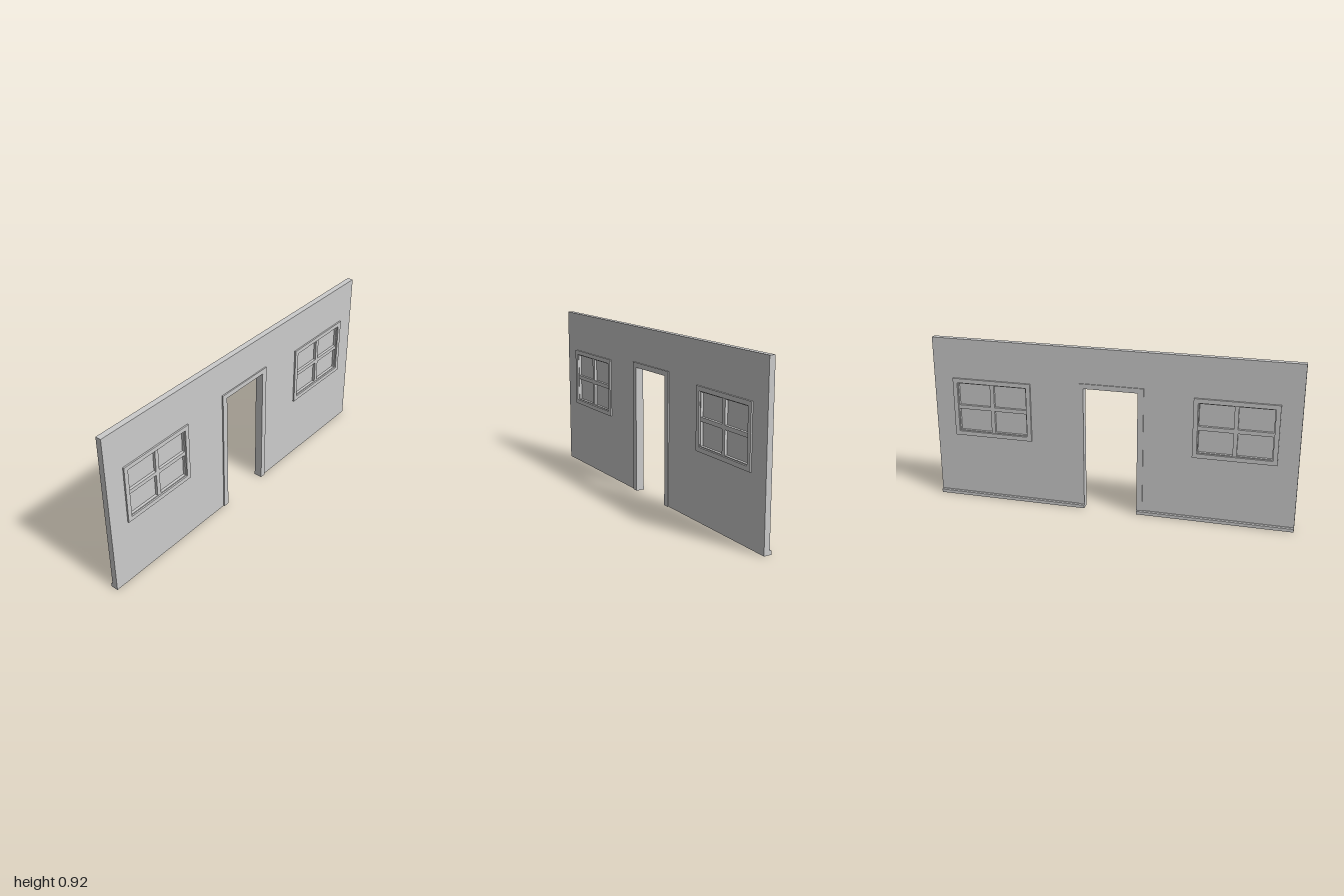
import * as THREE from 'three';

const material = new THREE.MeshStandardMaterial({ color: 0xcccccc, flatShading: true });

// Closed outline from [x, y] corners
const outline = (pts, Type = THREE.Shape) => new Type(pts.map(([x, y]) => new THREE.Vector2(x, y)));
const rect = (x0, y0, x1, y1) => [[x0, y0], [x1, y0], [x1, y1], [x0, y1]];
const arch = (x, y) => [[-x, 0], [-x, y], [x, y], [x, 0]];

// Extrude an outline with holes from z0 to z1
function slab(name, pts, holes, z0, z1) {
  const shape = outline(pts);
  shape.holes = holes.map((h) => outline(h, THREE.Path));
  const geometry = new THREE.ExtrudeGeometry(shape, { depth: z1 - z0, bevelEnabled: false });
  geometry.translate(0, 0, z0);
  const mesh = new THREE.Mesh(geometry, material);
  mesh.name = name;
  return mesh;
}

function box(name, w, h, d) {
  const mesh = new THREE.Mesh(new THREE.BoxGeometry(w, h, d), material);
  mesh.name = name;
  return mesh;
}

// Window: outer frame, recessed cross bars and a thin pane, centred on the origin
function createWindow(name) {
  const w = 0.445, h = 0.33, t = 0.024;
  const iw = w - 2 * t, ih = h - 2 * t;
  const group = new THREE.Group();
  group.name = name;
  group.add(
    slab('windowFrame', rect(-w / 2, -h / 2, w / 2, h / 2),
      [rect(-iw / 2, -ih / 2, iw / 2, ih / 2)], -0.0255, 0.0255),
    slab('windowBars', rect(-iw / 2, -ih / 2, iw / 2, ih / 2),
      [-1, 1].flatMap((sx) => [-1, 1].map((sy) => {
        const cx = sx * (iw / 4 + 0.003), cy = sy * (ih / 4 + 0.003);
        const px = iw / 4 - 0.008, py = ih / 4 - 0.008;
        return rect(cx - px, cy - py, cx + px, cy + py);
      })), -0.017, 0.017),
    box('windowPane', iw, ih, 0.004),
  );
  return group;
}

export function createModel() {
  const model = new THREE.Group();
  model.name = 'wallWithDoorway';
  const doorX = 0.148, doorY = 0.7, frameX = 0.18, frameY = 0.727;
  const windowX = 0.6675, windowY = 0.535;

  // Wall with a doorway notch and two window openings
  const openings = [-1, 1].map((s) => rect(
    s * windowX - 0.205, windowY - 0.147, s * windowX + 0.205, windowY + 0.147));
  model.add(slab('wall',
    [[-1, 0], ...arch(doorX + 0.006, doorY + 0.006), [1, 0], [1, 0.923], [-1, 0.923]],
    openings, -0.015, 0.017));

  // Door casing
  model.add(slab('doorFrame',
    [...arch(frameX, frameY), ...arch(doorX, doorY).reverse()], [], -0.021, 0.024));

  for (const side of [-1, 1]) {
    const name = side > 0 ? 'left' : 'right';
    const win = createWindow(name + 'Window');
    win.position.set(side * windowX, windowY, 0);
    model.add(win);

    // Baseboard along the back, with a sloped top edge
    const length = 1 - doorX;
    const base = slab(name + 'Baseboard',
      [[0.01, 0], [0.0255, 0], [0.0255, 0.018], [0.021, 0.023], [0.01, 0.023]],
      [], -length / 2, length / 2);
    base.rotation.y = Math.PI / 2;
    base.position.x = side * (doorX + length / 2);
    model.add(base);
  }
  return model;
}
